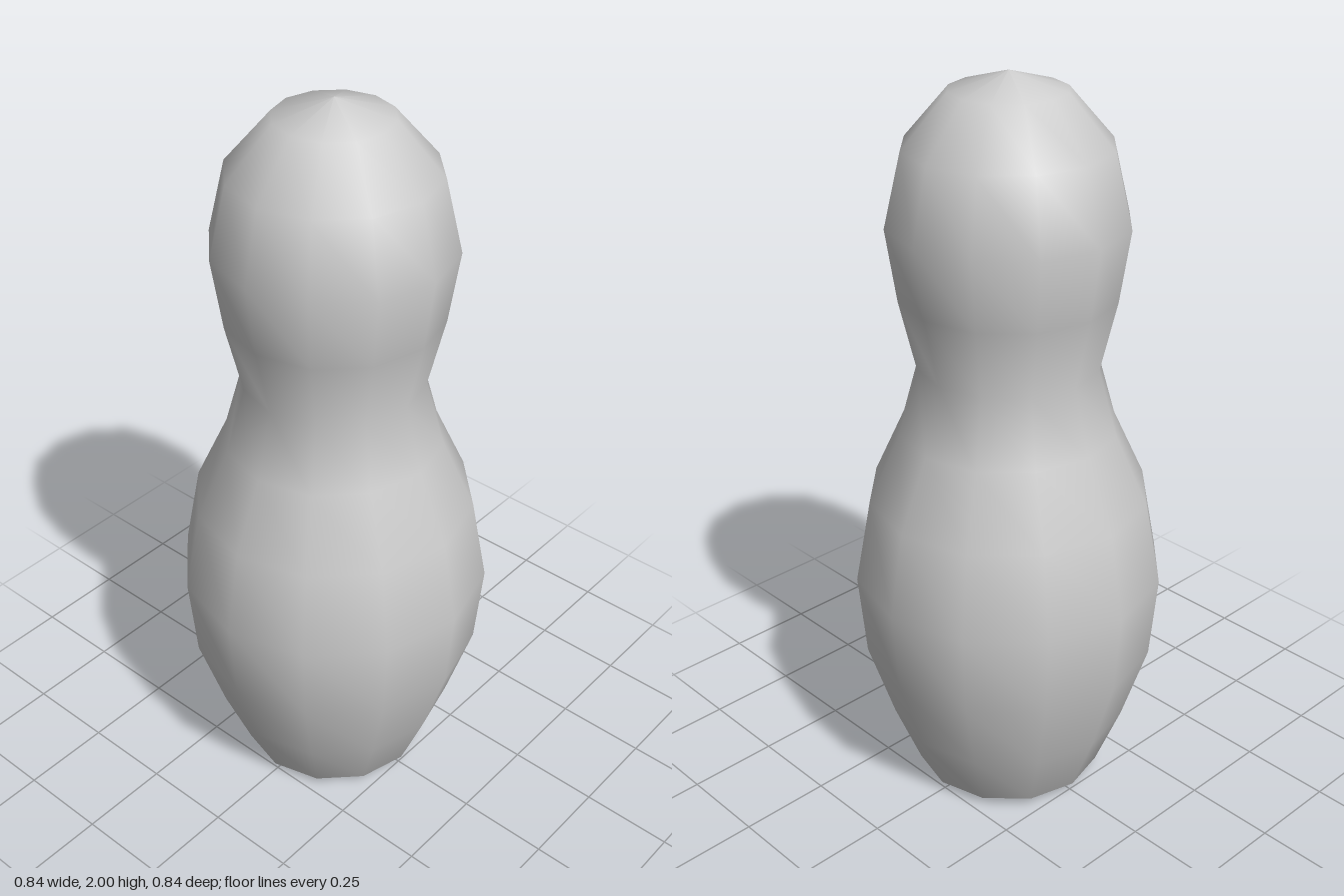
import * as THREE from 'three';

const SIDES = 12;

// Radius and height pairs, from the foot to the crown
const PROFILE = [
  [0.225, 0], [0.26, 0.025], [0.33, 0.2], [0.4, 0.42], [0.42, 0.65],
  [0.377, 0.88], [0.29, 1.07], [0.24, 1.25], [0.284, 1.44],
  [0.312, 1.63], [0.267, 1.82], [0.15, 1.955], [0, 2],
];

export function createModel() {
  const group = new THREE.Group();
  group.name = 'bowlingPin';
  const material = new THREE.MeshStandardMaterial({ color: 0xcccccc });

  // Turned body: belly, neck and head in one smooth surface
  const points = PROFILE.map(([r, y]) => new THREE.Vector2(r, y));
  const body = new THREE.Mesh(new THREE.LatheGeometry(points, SIDES), material);
  body.name = 'body';
  group.add(body);

  // Flat underside
  const base = new THREE.Mesh(
    new THREE.CircleGeometry(PROFILE[0][0], SIDES).rotateX(Math.PI / 2),
    material
  );
  base.name = 'base';
  group.add(base);

  return group;
}
